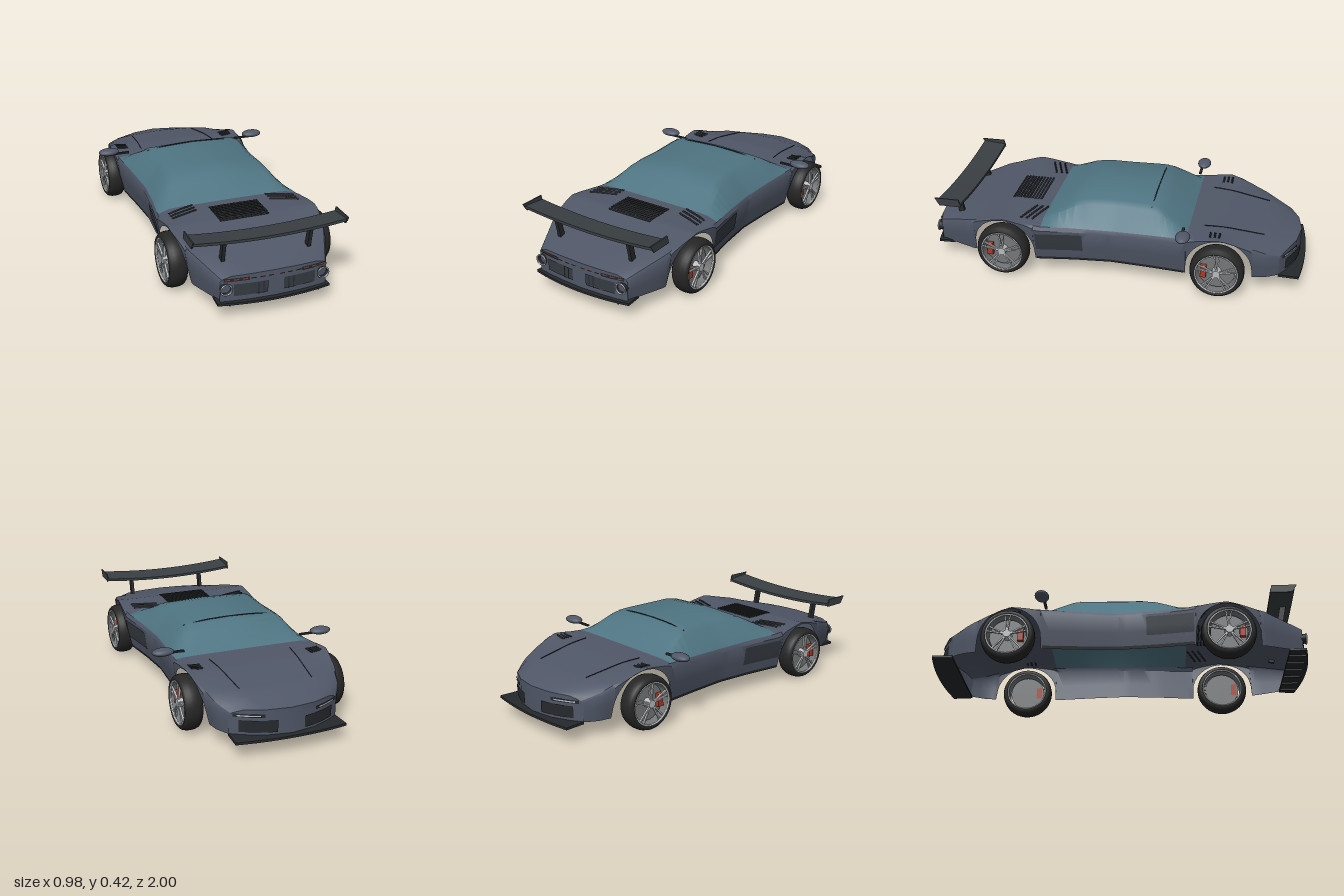
import * as THREE from 'three';
import { toCreasedNormals } from 'three/addons/utils/BufferGeometryUtils.js';

const paint = (color) => new THREE.MeshStandardMaterial({ color, side: THREE.DoubleSide });
const MAT = {
  body: paint(0x505767), glass: paint(0x4f7482), trim: paint(0x26292c), wing: paint(0x3a3f43),
  tyre: paint(0x262626), metal: paint(0xb8bbbd), disc: paint(0x747678), red: paint(0xa83a28), grey: paint(0x353b42),
};
const lerp = THREE.MathUtils.lerp;

// Linear lookup in a list of [z, value] pairs
function table(list, z) {
  if (z <= list[0][0]) return list[0][1];
  for (let i = 1; i < list.length; i++) {
    const [a, va] = list[i - 1], [b, vb] = list[i];
    if (z <= b) return lerp(va, vb, (z - a) / (b - a));
  }
  return list[list.length - 1][1];
}

const Z0 = -0.87, Z1 = 0.95, CAB0 = -0.4, CAB1 = 0.36, AXLE = 0.565, ARCH = 0.165;
const WIDTH = [[-0.87, 0.28], [-0.8, 0.33], [-0.7, 0.36], [-0.55, 0.385], [-0.4, 0.385], [-0.2, 0.365], [0, 0.35],
  [0.2, 0.368], [0.4, 0.398], [0.6, 0.388], [0.75, 0.36], [0.95, 0.27]];
const SHOULDER = [[-0.87, 0.195], [-0.75, 0.25], [-0.56, 0.312], [-0.4, 0.297], [0, 0.28], [0.36, 0.288],
  [0.56, 0.315], [0.75, 0.272], [0.95, 0.205]];
const CREST = [[-0.87, 0.22], [-0.75, 0.266], [-0.56, 0.298], [-0.4, 0.305], [-0.3, 0.372], [-0.24, 0.41], [-0.19, 0.42],
  [0, 0.422], [0.13, 0.418], [0.2, 0.4], [0.3, 0.345], [0.36, 0.312], [0.56, 0.312], [0.75, 0.272], [0.95, 0.225]];
const EDGE = [[-0.87, 0.8], [-0.4, 0.82], [-0.22, 0.75], [0.15, 0.75], [0.36, 0.82], [0.95, 0.8]];
const INNER = [[-0.87, 0.45], [-0.4, 0.7], [-0.22, 0.66], [0.15, 0.66], [0.36, 0.7], [0.95, 0.45]];

// Half cross-section from the sill up to the centre line
function section(z) {
  const w = table(WIDTH, z), s = table(SHOULDER, z), t = table(CREST, z);
  const d = Math.abs(Math.abs(z) - AXLE);
  const yb = d < ARCH ? 0.14 + Math.sqrt(ARCH * ARCH - d * d) : 0.085;
  const low = (y) => w - 0.035 * Math.max(0, (s - y) / 0.2) ** 1.5;
  const side = (k) => [low(lerp(yb, s, k)), lerp(yb, s, k)];
  return [side(0), side(0.45), side(0.9), [w * 0.97, s], [w * table(EDGE, z), lerp(s, t, 0.78)],
    [w * table(INNER, z), lerp(s, t, 0.92)], [0, t]];
}
// Bows the ends so that nose and tail are rounded in plan
function bow(x, z) {
  const r = 1 - (x / table(WIDTH, z)) ** 2;
  if (z < -0.4) return z - 0.1 * ((-0.4 - z) / 0.47) ** 1.5 * r;
  if (z > 0.4) return z + 0.025 * ((z - 0.4) / 0.55) ** 1.5 * r;
  return z;
}
// Height of the upper surface
function topAt(x, z) {
  const p = section(z).slice(3).reverse();
  return table(p.map(([a, b]) => [a, b]), Math.abs(x));
}

// Surface through rows of [x, y, z] points
function loft(rows, crease = 0.6) {
  const n = rows[0].length, index = [];
  for (let i = 0; i + 1 < rows.length; i++) for (let j = 0; j + 1 < n; j++) {
    const a = i * n + j, b = a + n;
    index.push(a, b, a + 1, a + 1, b, b + 1);
  }
  const g = new THREE.BufferGeometry();
  g.setAttribute('position', new THREE.Float32BufferAttribute(rows.flat(2), 3));
  g.setIndex(index);
  return toCreasedNormals(g, crease);
}

export function createModel() {
  const car = new THREE.Group();
  const add = (name, geo, mat, parent = car) => {
    const m = new THREE.Mesh(geo, mat);
    m.name = name;
    parent.add(m);
    return m;
  };
  const box = (name, size, pos, mat, parent) => {
    const m = add(name, new THREE.BoxGeometry(...size), mat, parent);
    m.position.set(...pos);
    return m;
  };

  // Stations along the car, denser over the wheel arches
  const stations = [Z0, CAB0, CAB1, Z1];
  for (let i = 1; i < 46; i++) stations.push(lerp(Z0, Z1, i / 46));
  for (const s of [-1, 1]) for (let i = 0; i <= 16; i++) {
    stations.push(s * AXLE - ARCH * 0.9999 * Math.cos(Math.PI * i / 16));
  }
  for (const s of [-1, 1]) for (const e of [-1, 1]) stations.push(s * AXLE + e * (ARCH + 0.001));
  stations.sort((a, b) => a - b);
  const halfRow = (z, from, to, s) => section(z).slice(from, to).map(([x, y]) => [s * x, y, bow(x, z)]);
  const fullRow = (z) => [...halfRow(z, 3, 7, -1), ...halfRow(z, 3, 6, 1).reverse()];
  const range = (a, b) => stations.filter((z) => z >= a && z <= b);

  // Body shell and glass canopy
  for (const s of [-1, 1]) add(s > 0 ? 'leftSide' : 'rightSide', loft(stations.map((z) => halfRow(z, 0, 4, s))), MAT.body);
  add('hood', loft(range(Z0, CAB0).map(fullRow)), MAT.body);
  add('engineCover', loft(range(CAB1, Z1).map(fullRow)), MAT.body);
  add('canopy', loft(range(CAB0, CAB1).map(fullRow)), MAT.glass);
  for (const [name, z] of [['nosePanel', Z0], ['tailPanel', Z1]]) {
    const top = [...halfRow(z, 0, 7, -1), ...halfRow(z, 0, 6, 1).reverse()];
    add(name, loft([top, top.map(([x, , zz]) => [x, 0.085, zz])]), MAT.body);
  }

  // Panels that follow the curved ends
  const endPanel = (name, end, x0, x1, y0, y1, mat, out = 0.004) => {
    const row = (y) => Array.from({ length: 7 }, (_, i) => {
      const x = lerp(x0, x1, i / 6);
      return [x, y, bow(x, end) + Math.sign(end) * out];
    });
    add(name, loft([row(y0), row(y1)]), mat);
  };
  for (const s of [-1, 1]) {
    endPanel('frontIntake', Z0, s * 0.07, s * 0.24, 0.105, 0.165, MAT.trim);
    endPanel('headlight', Z0, s * 0.13, s * 0.265, 0.18, 0.197, MAT.trim);
    endPanel('headlightLens', Z0, s * 0.15, s * 0.25, 0.185, 0.191, MAT.metal, 0.007);
    endPanel('rearVent', Z1, s * 0.04, s * 0.205, 0.117, 0.178, MAT.grey);
    for (const x of [0.06, 0.085]) endPanel('ventFin', Z1, s * x, s * (x + 0.006), 0.117, 0.178, MAT.trim, 0.008);
    endPanel('tailLightHousing', Z1, s * 0.13, s * 0.255, 0.194, 0.211, MAT.trim);
    for (let i = 0; i < 6; i++) {
      endPanel('tailLight', Z1, s * (0.015 + i * 0.042), s * (0.04 + i * 0.042), 0.202, 0.207, MAT.red, 0.008);
    }
    // Round exhaust trims
    const ring = add('exhaustRing', new THREE.TorusGeometry(0.027, 0.004, 8, 28), MAT.metal);
    ring.position.set(s * 0.245, 0.16, 0.972);
    const pipe = add('exhaustPipe', new THREE.CylinderGeometry(0.025, 0.025, 0.05, 24, 1, true), MAT.trim);
    pipe.rotation.x = Math.PI / 2;
    pipe.position.set(s * 0.245, 0.16, 0.948);
  }

  // Strips laid on the upper surface
  const strip = (name, x0, z0, x1, z1, r = 0.004) => {
    const pts = Array.from({ length: 6 }, (_, i) => {
      const x = lerp(x0, x1, i / 5), z = lerp(z0, z1, i / 5);
      return new THREE.Vector3(x, topAt(x, z) + 0.002, bow(x, z));
    });
    add(name, new THREE.TubeGeometry(new THREE.CatmullRomCurve3(pts), 10, r, 6), MAT.trim);
  };
  for (let i = 0; i < 10; i++) strip('engineSlat', -0.13, 0.425 + i * 0.0165, 0.13, 0.425 + i * 0.0165, 0.005);
  for (const s of [-1, 1]) {
    for (let i = 0; i < 3; i++) {
      strip('rearGill', s * 0.2, 0.365 + i * 0.03, s * 0.34, 0.415 + i * 0.03, 0.005);
      strip('hoodGill', s * 0.29, -0.555 + i * 0.022, s * 0.35, -0.56 + i * 0.022, 0.005);
    }
    strip('hoodLine', s * 0.19, -0.74, s * 0.22, -0.47, 0.002);
  }
  strip('roofSeam', -0.26, -0.205, 0.26, -0.205, 0.0025);

  for (const s of [-1, 1]) {
    // Side intake and sill, lying on the body side
    const sideY = (z, y) => {
      const p = section(z).slice(0, 4).map(([x, h]) => [h, x]);
      return s * (table(p, y) + 0.004);
    };
    const patch = (name, z0, z1, y0, y1, mat) => {
      const rows = Array.from({ length: 9 }, (_, i) => {
        const z = lerp(z0, z1, i / 8);
        return Array.from({ length: 5 }, (_, j) => {
          const y = lerp(y0, y1, j / 4);
          return [sideY(z, y), y, z];
        });
      });
      add(name, loft(rows), mat);
    };
    patch('sideIntake', 0.145, 0.39, 0.15, 0.25, MAT.grey);
    patch('sill', -0.39, 0.39, 0.085, 0.1, MAT.trim);

    // Door mirror
    const mirror = new THREE.Group();
    mirror.name = 'mirror';
    car.add(mirror);
    const shell = add('mirrorShell', new THREE.SphereGeometry(1, 24, 14), MAT.body, mirror);
    shell.scale.set(0.057, 0.02, 0.037);
    shell.position.set(s * 0.434, 0.343, -0.39);
    box('mirrorArm', [0.09, 0.009, 0.014], [s * 0.365, 0.331, -0.38], MAT.trim, mirror);
  }

  // Wheels
  const wheel = (s, zc) => {
    const g = new THREE.Group();
    g.name = zc < 0 ? 'frontWheel' : 'rearWheel';
    g.position.set(s * 0.38, 0.14, zc);
    if (s < 0) g.rotation.y = Math.PI;
    car.add(g);
    const profile = [[0.107, -0.035], [0.11, -0.044], [0.122, -0.047], [0.133, -0.036], [0.139, -0.018], [0.14, 0],
      [0.139, 0.018], [0.133, 0.036], [0.122, 0.047], [0.11, 0.044], [0.107, 0.035]].map((p) => new THREE.Vector2(...p));
    add('tyre', new THREE.LatheGeometry(profile, 40), MAT.tyre, g).rotation.z = -Math.PI / 2;
    add('rimBarrel', new THREE.CylinderGeometry(0.107, 0.107, 0.08, 40, 1, true), MAT.disc, g).rotation.z = Math.PI / 2;
    for (const x of [-0.041, 0.041]) {
      const rim = add('rim', new THREE.TorusGeometry(0.108, 0.005, 8, 40), MAT.metal, g);
      rim.rotation.y = Math.PI / 2;
      rim.position.x = x;
    }
    const disc = add('brakeDisc', new THREE.CylinderGeometry(0.095, 0.095, 0.01, 32), MAT.disc, g);
    disc.rotation.z = Math.PI / 2;
    const hub = add('hub', new THREE.CylinderGeometry(0.02, 0.024, 0.04, 20), MAT.metal, g);
    hub.rotation.z = -Math.PI / 2;
    hub.position.x = 0.025;
    for (let i = 0; i < 5; i++) for (const e of [-1, 1]) {
      const arm = new THREE.Group();
      arm.name = 'spoke';
      arm.rotation.x = i * Math.PI * 0.4 + e * 0.13;
      g.add(arm);
      box('spokeBar', [0.01, 0.09, 0.007], [0.035, 0.062, 0], MAT.metal, arm);
    }
    box('caliper', [0.035, 0.065, 0.03], [0.012, 0, s * 0.068], MAT.red, g);
  };
  for (const s of [-1, 1]) for (const z of [-AXLE, AXLE]) wheel(s, z);

  // Rear wing: bowed blade, end plates and struts
  const blade = new THREE.BoxGeometry(0.78, 0.014, 0.125, 24, 1, 4);
  const bp = blade.attributes.position;
  for (let i = 0; i < bp.count; i++) {
    bp.setY(i, bp.getY(i) + 0.022 * (bp.getX(i) / 0.39) ** 2 + bp.getZ(i) * 0.1);
  }
  blade.computeVertexNormals();
  add('wingBlade', blade, MAT.wing).position.set(0, 0.357, 0.85);
  for (const s of [-1, 1]) {
    const plate = new THREE.Shape([[0.785, 0.362], [0.9, 0.362], [0.925, 0.403], [0.795, 0.403]].map((p) => new THREE.Vector2(-p[0], p[1])));
    const m = add('wingEndPlate', new THREE.ExtrudeGeometry(plate, { depth: 0.006, bevelEnabled: false }), MAT.wing);
    m.rotation.y = Math.PI / 2;
    m.position.x = s * 0.387 - 0.003;
    const strut = box('wingStrut', [0.018, 0.13, 0.03], [s * 0.22, 0.302, 0.855], MAT.trim);
    strut.rotation.x = 0.2;
  }

  // Front splitter and rear diffuser
  const tray = (name, back, edge, tip) => {
    const sh = new THREE.Shape();
    sh.moveTo(-0.28, back);
    sh.lineTo(-0.285, edge);
    sh.quadraticCurveTo(0, tip, 0.285, edge);
    sh.lineTo(0.28, back);
    const m = add(name, new THREE.ExtrudeGeometry(sh, { depth: 0.012, bevelEnabled: false, curveSegments: 16 }), MAT.trim);
    m.rotation.x = Math.PI / 2;
    m.position.y = 0.09;
  };
  tray('splitter', -0.87, -0.975, -1.025);
  tray('diffuser', 0.88, 0.965, 1.03);
  for (let i = 0; i < 6; i++) box('diffuserFin', [0.005, 0.014, 0.09], [-0.225 + i * 0.09, 0.076, 0.925], MAT.trim);
  return car;
}
